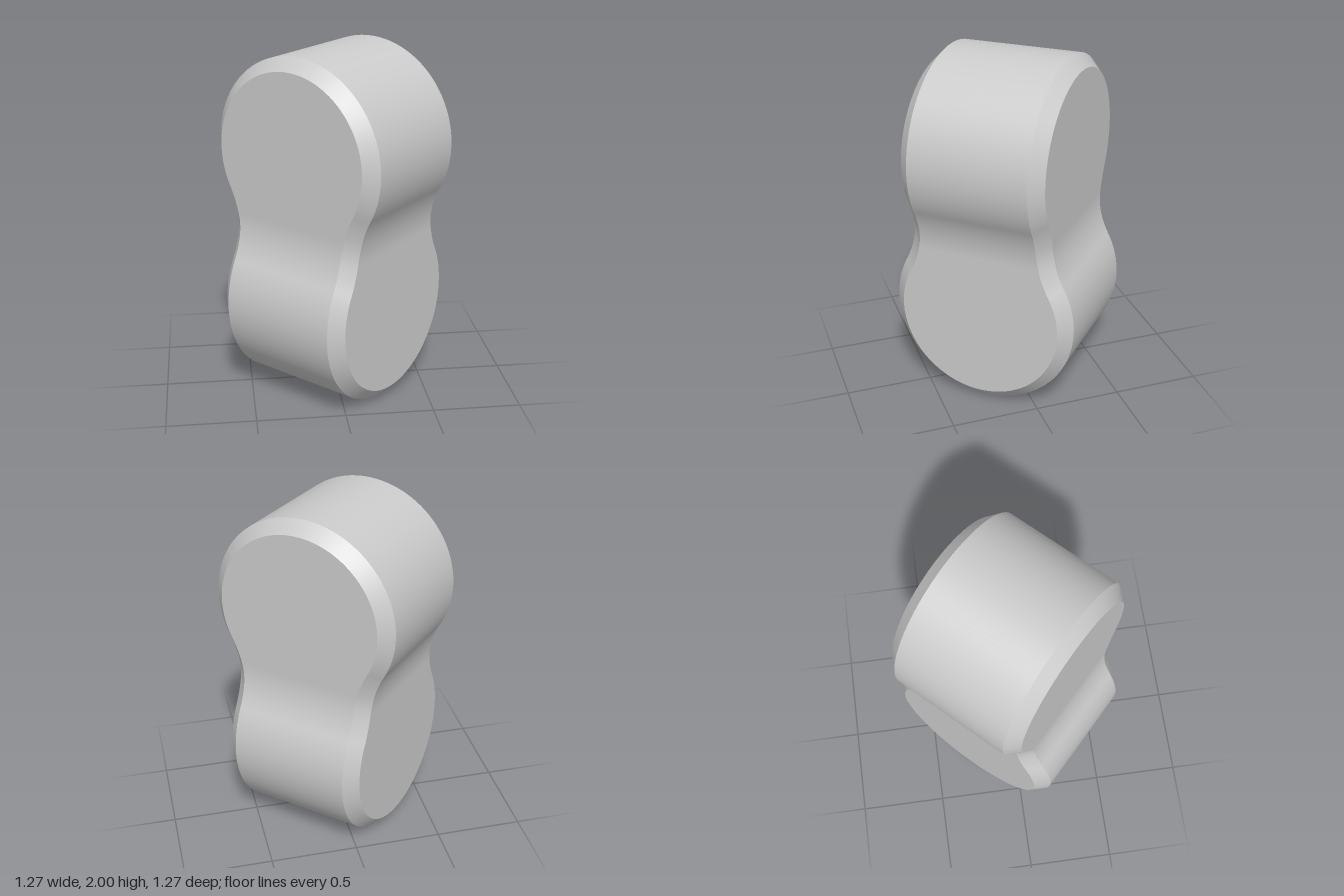
import * as THREE from 'three';
import { toCreasedNormals } from 'three/addons/utils/BufferGeometryUtils.js';

// Two crossed drums blended into one body, with a chamfer running along every edge
const R = 0.547;        // drum radius
const C = 0.445;        // drum centre above / below the middle
const H = 0.418;        // half thickness of a drum
const CH = 0.07;        // chamfer size
const F = -0.07;        // height where the neck fillet meets the flat side
const D = C - F;
const r = (H * H + D * D - R * R) / (2 * (R - H)); // fillet radius, tangent to drum and flat
const cos0 = -D / (R + r);                         // where drum turns into fillet

// Half width of the keyhole outline at height y, inset by c
function halfWidth(y, c) {
  const root = (v) => Math.sqrt(Math.max(0, v));
  if (y > C + (R - c) * cos0) return root((R - c) ** 2 - (y - C) ** 2);
  if (y > F) return H + r - root((r + c) ** 2 - (y - F) ** 2);
  return H - c;
}

// Heights of one chamfer edge from top to bottom; insets at the upper and lower drum
function edgeHeights(cTop, cBottom) {
  const ys = [], arc = 48, neck = 40, end = Math.acos(cos0);
  for (let i = 0; i <= arc; i++) ys.push(C + (R - cTop) * Math.cos(end * i / arc));
  const y0 = C + (R - cTop) * cos0, y1 = -C - (R - cBottom) * cos0;
  for (let i = 1; i < neck; i++) ys.push(y0 + (y1 - y0) * i / neck);
  for (let i = arc; i >= 0; i--) ys.push(-C - (R - cBottom) * Math.cos(end * i / arc));
  return ys;
}

function bodyGeometry() {
  const ya = edgeHeights(CH, 0), yb = edgeHeights(0, CH);
  const positions = [], index = [];
  // Each row is a rectangle with cut corners
  ya.forEach((a, i) => {
    const b = yb[i];
    const ax = halfWidth(a, CH), az = halfWidth(-a, 0);
    const bx = halfWidth(b, 0), bz = halfWidth(-b, CH);
    positions.push(
      bx, b, bz, ax, a, az, -ax, a, az, -bx, b, bz,
      -bx, b, -bz, -ax, a, -az, ax, a, -az, bx, b, -bz);
  });
  for (let i = 0; i < ya.length - 1; i++) {
    for (let j = 0; j < 8; j++) {
      const p = i * 8 + j, q = i * 8 + (j + 1) % 8;
      index.push(p, q, p + 8, q, q + 8, p + 8);
    }
  }
  const geometry = new THREE.BufferGeometry();
  geometry.setAttribute('position', new THREE.Float32BufferAttribute(positions, 3));
  geometry.setIndex(index);
  geometry.rotateY(-0.756);

  // Slight lean of the drum axes, then stand on the ground
  const pos = geometry.attributes.position;
  for (let i = 0; i < pos.count; i++) pos.setY(i, pos.getY(i) - 0.0325 * pos.getZ(i));
  geometry.computeBoundingBox();
  geometry.translate(0, -geometry.boundingBox.min.y, 0);
  return toCreasedNormals(geometry, Math.PI / 6);
}

export function createModel() {
  const group = new THREE.Group();
  group.name = 'crossedDrums';
  const body = new THREE.Mesh(bodyGeometry(), new THREE.MeshStandardMaterial({ color: 0xcccccc }));
  body.name = 'body';
  group.add(body);
  return group;
}
